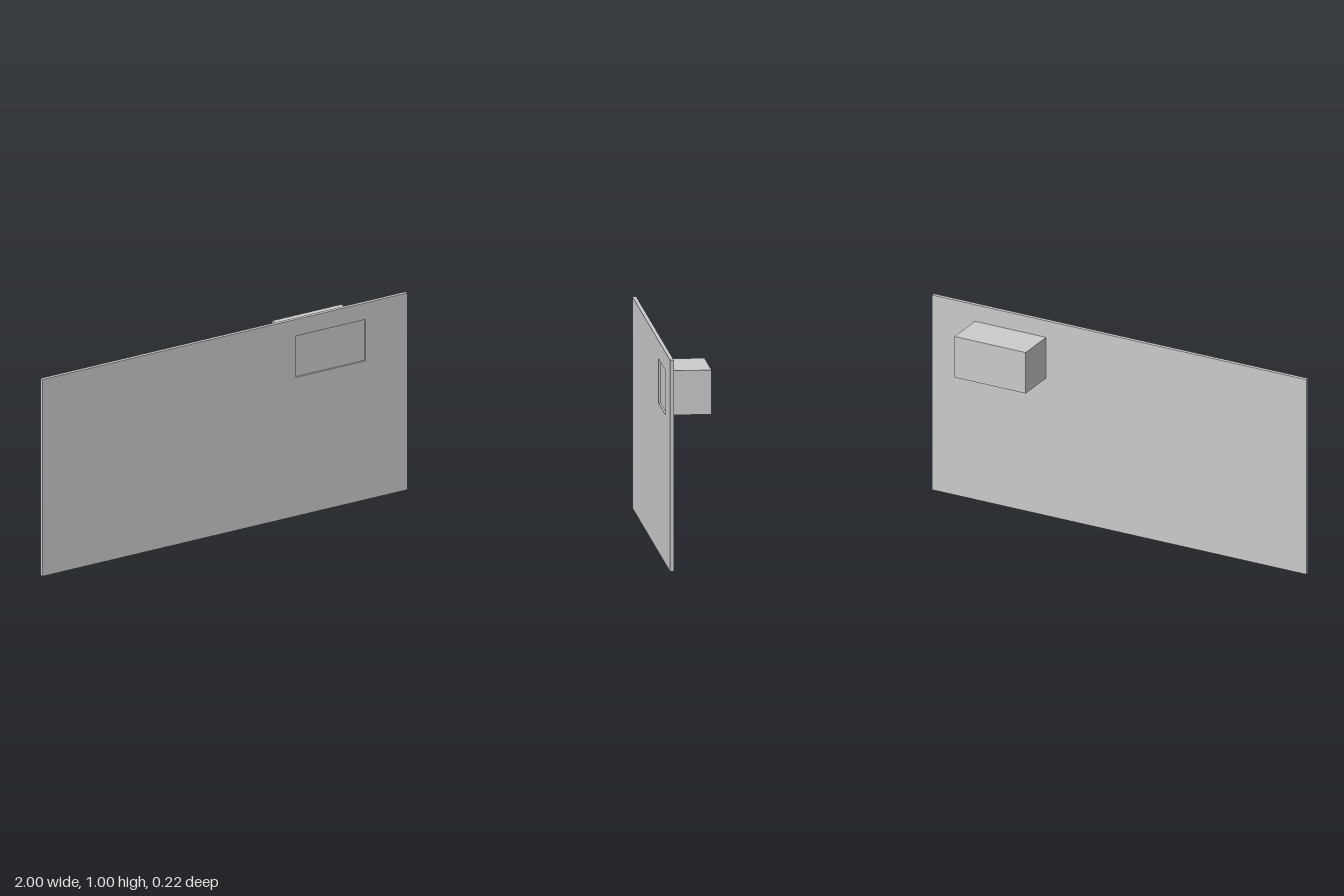
import * as THREE from 'three';

export function createModel() {
  const group = new THREE.Group();
  const material = new THREE.MeshStandardMaterial({ color: 0xcccccc, flatShading: true });
  const back = 0.09, front = 0.108;
  const x0 = 0.39, x1 = 0.77, y0 = 0.705, y1 = 0.915;

  // Thin upright panel with a rectangular window for the box
  const outline = new THREE.Shape();
  outline.moveTo(-1, 0).lineTo(1, 0).lineTo(1, 1).lineTo(-1, 1).closePath();
  const opening = new THREE.Path();
  opening.moveTo(x0, y0).lineTo(x0, y1).lineTo(x1, y1).lineTo(x1, y0).closePath();
  outline.holes.push(opening);
  const panel = new THREE.Mesh(
    new THREE.ExtrudeGeometry(outline, { depth: front - back, bevelEnabled: false }), material);
  panel.position.z = back;
  panel.name = 'panel';
  group.add(panel);

  // Box on the back, its front face slightly recessed in the window
  const zBack = -0.108, zFront = 0.098;
  const box = new THREE.Mesh(new THREE.BoxGeometry(x1 - x0, y1 - y0, zFront - zBack), material);
  box.position.set((x0 + x1) / 2, (y0 + y1) / 2, (zBack + zFront) / 2);
  box.name = 'rearBox';
  group.add(box);

  return group;
}
